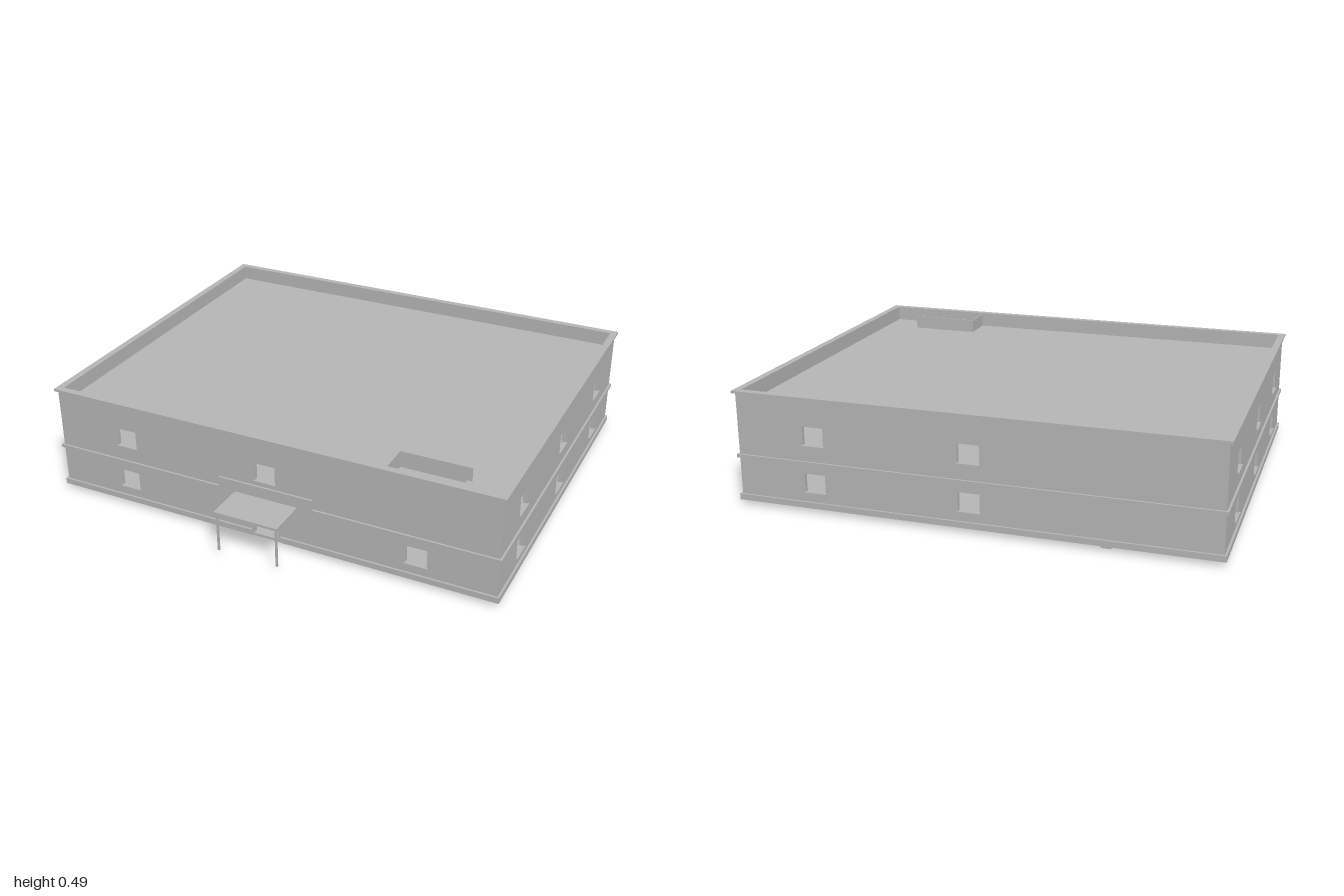
import * as THREE from 'three';

const X = 0.988, ZB = -0.868, ZF = 0.708;      // outer wall planes
const T = 0.018;                               // wall thickness
const BASE = 0.02, FLOOR2 = 0.225, ROOF = 0.42, TOP = 0.475;
const ZC = (ZB + ZF) / 2, DEPTH = ZF - ZB;
const LOW = 0.125, HIGH = 0.323;               // window centre heights
const WIN_W = 0.09, WIN_H = 0.078;
const SIDE_Z = [0.45, -0.075, -0.6];

export function createModel() {
  const model = new THREE.Group();
  const grey = new THREE.MeshStandardMaterial({ color: 0xb4b4b4 });
  grey.name = 'concrete grey';

  const add = (name, geometry, parent = model) => {
    const mesh = new THREE.Mesh(geometry, grey);
    mesh.name = name;
    parent.add(mesh);
    return mesh;
  };

  // Box given by its two opposite corners
  const box = (name, x0, x1, y0, y1, z0, z1, parent) => {
    const mesh = add(name, new THREE.BoxGeometry(x1 - x0, y1 - y0, z1 - z0), parent);
    mesh.position.set((x0 + x1) / 2, (y0 + y1) / 2, (z0 + z1) / 2);
    return mesh;
  };

  // Rectangular plate with rectangular holes [x0, x1, y0, y1]
  const rect = (path, [x0, x1, y0, y1]) =>
    path.moveTo(x0, y0).lineTo(x1, y0).lineTo(x1, y1).lineTo(x0, y1).closePath();
  const plate = (outline, holes, depth) => {
    const shape = rect(new THREE.Shape(), outline);
    holes.forEach((h) => shape.holes.push(rect(new THREE.Path(), h)));
    return new THREE.ExtrudeGeometry(shape, { depth, bevelEnabled: false });
  };
  const windowHole = ([u, y]) => [u - WIN_W / 2, u + WIN_W / 2, y - WIN_H / 2, y + WIN_H / 2];

  // Outside wall: openings and window sills, outer face towards local +z
  const wall = (name, width, windows, extraHoles, place) => {
    const group = new THREE.Group();
    group.name = name;
    const holes = windows.map(windowHole).concat(extraHoles);
    add('wallPanel', plate([-width / 2, width / 2, BASE, TOP], holes, T), group).position.z = -T;
    for (const [u, y] of windows) {
      const s = y - WIN_H / 2;
      box('windowSill', u - 0.05, u + 0.05, s - 0.006, s, -T, 0.007, group);
    }
    place(group);
    model.add(group);
  };
  const bothFloors = (us) => us.flatMap((u) => [[u, LOW], [u, HIGH]]);

  wall('frontWall', 2 * X, [[-0.655, LOW], [-0.655, HIGH], [0, HIGH], [0.655, LOW]],
    [[-0.055, 0.055, 0.032, 0.175]], (g) => g.position.set(0, 0, ZF));
  wall('backWall', 2 * X, bothFloors([-0.655, 0]), [], (g) => {
    g.position.set(0, 0, ZB);
    g.rotation.y = Math.PI;
  });
  for (const side of [1, -1]) {
    wall(side > 0 ? 'leftWall' : 'rightWall', DEPTH - 2 * T,
      bothFloors(SIDE_Z.map((z) => -side * (z - ZC))), [], (g) => {
        g.position.set(side * X, 0, ZC);
        g.rotation.y = side * Math.PI / 2;
      });
  }

  // Floors and roof, with stair openings
  const slab = (name, top, thick, holes) => {
    const flat = holes.map(([x0, x1, z0, z1]) => [x0, x1, -z1, -z0]);
    const mesh = add(name, plate([-X + T, X - T, -ZF + T, -ZB - T], flat, thick));
    mesh.rotation.x = -Math.PI / 2;
    mesh.position.y = top - thick;
  };
  slab('groundFloor', 0.032, 0.012, []);
  slab('upperFloor', FLOOR2, 0.012, [[-0.84, -0.53, -0.849, -0.71]]);
  slab('roof', ROOF, 0.012, [[0.515, 0.81, 0.555, 0.689]]);

  // Ring of moulding around the outside
  const ring = (name, y0, y1, out, inner) => {
    const hole = [-X + inner, X - inner, -ZF + inner, -ZB - inner];
    const outline = [-X - out, X + out, -ZF - out, -ZB + out];
    const mesh = add(name, plate(outline, [hole], y1 - y0));
    mesh.rotation.x = -Math.PI / 2;
    mesh.position.y = y0;
  };
  ring('coping', TOP, 0.485, 0.012, T);

  // Base and storey bands on back and sides
  const bands = [['basePlinth', BASE, 0.045, 0.009], ['storeyBand', 0.203, 0.217, 0.009]];
  for (const [name, y0, y1, out] of bands) {
    box(name, -X - out, X + out, y0, y1, ZB - out, ZB);
    box(name, X, X + out, y0, y1, ZB, ZF);
    box(name, -X - out, -X, y0, y1, ZB, ZF);
  }
  // Front bands: the plinth stops at the door, the storey band steps over the canopy
  for (const s of [1, -1]) {
    const span = (a, b) => (s > 0 ? [a, b] : [-b, -a]);
    box('basePlinth', ...span(0.066, X + 0.009), BASE, 0.045, ZF, ZF + 0.009);
    box('storeyBand', ...span(0.2, X + 0.009), 0.203, 0.217, ZF, ZF + 0.009);
    box('storeyBandStep', ...span(0.2, 0.212), 0.217, 0.26, ZF, ZF + 0.009);
    box('doorJamb', ...span(0.055, 0.066), BASE, 0.182, ZF - T, ZF + 0.006);
    box('canopyPost', ...span(0.128, 0.136), BASE, 0.193, 0.862, 0.87);
  }
  box('storeyBandStep', -0.2, 0.2, 0.247, 0.26, ZF, ZF + 0.009);
  box('doorLintel', -0.055, 0.055, 0.175, 0.182, ZF - T, ZF + 0.006);
  box('doorStep', -0.055, 0.055, BASE, 0.032, ZF - T, ZF + 0.006);
  box('canopy', -0.142, 0.142, 0.193, 0.204, ZF, 0.876);

  // Inner partitions with doorways in line with the windows
  const storeys = [[0.032, 0.213], [FLOOR2, 0.408]];
  for (const [y0, y1] of storeys) {
    const doorway = (u) => [u - 0.05, u + 0.05, y0 + 0.004, y0 + 0.15];
    for (const x of [-0.33, 0.33]) {
      const holes = SIDE_Z.map((z) => doorway(ZC - z));
      const mesh = add('crossPartition',
        plate([-DEPTH / 2 + T, DEPTH / 2 - T, y0, y1], holes, 0.012));
      mesh.rotation.y = Math.PI / 2;
      mesh.position.set(x - 0.006, 0, ZC);
    }
    for (const z of [-0.35, 0.2]) {
      const holes = [-0.655, 0, 0.655].map(doorway);
      add('longPartition', plate([-X + T, X - T, y0, y1], holes, 0.012)).position.z = z;
    }
  }

  // Stair flight with stepped profile, rising along dir from x0
  const stairs = (name, x0, y0, rise, run, dir, z0, z1) => {
    const n = 14;
    const shape = new THREE.Shape().moveTo(0, 0);
    for (let i = 0; i < n; i++) {
      shape.lineTo(i * run / n, (i + 1) * rise / n);
      shape.lineTo((i + 1) * run / n, (i + 1) * rise / n);
    }
    shape.lineTo(run, rise - 0.03).lineTo(0.035, -0.008).closePath();
    const geometry = new THREE.ExtrudeGeometry(shape, { depth: z1 - z0, bevelEnabled: false });
    const mesh = add(name, geometry);
    mesh.position.set(x0, y0, dir > 0 ? z0 : z1);
    if (dir < 0) mesh.rotation.y = Math.PI;
  };
  stairs('groundStairs', -0.52, 0.008, FLOOR2 - 0.008, 0.32, -1, -0.849, -0.71);
  stairs('roofStairs', 0.515, FLOOR2, ROOF - FLOOR2, 0.295, 1, 0.555, 0.689);
  box('groundStairFoot', -0.56, -0.52, 0, 0.03, -0.849, -0.71);

  // Parapet around the roof stair, open at the top step
  box('stairParapet', 0.51, 0.81, 0.408, 0.478, 0.55, 0.555);
  box('stairParapet', 0.51, 0.515, 0.408, 0.478, 0.555, 0.69);

  return model;
}
